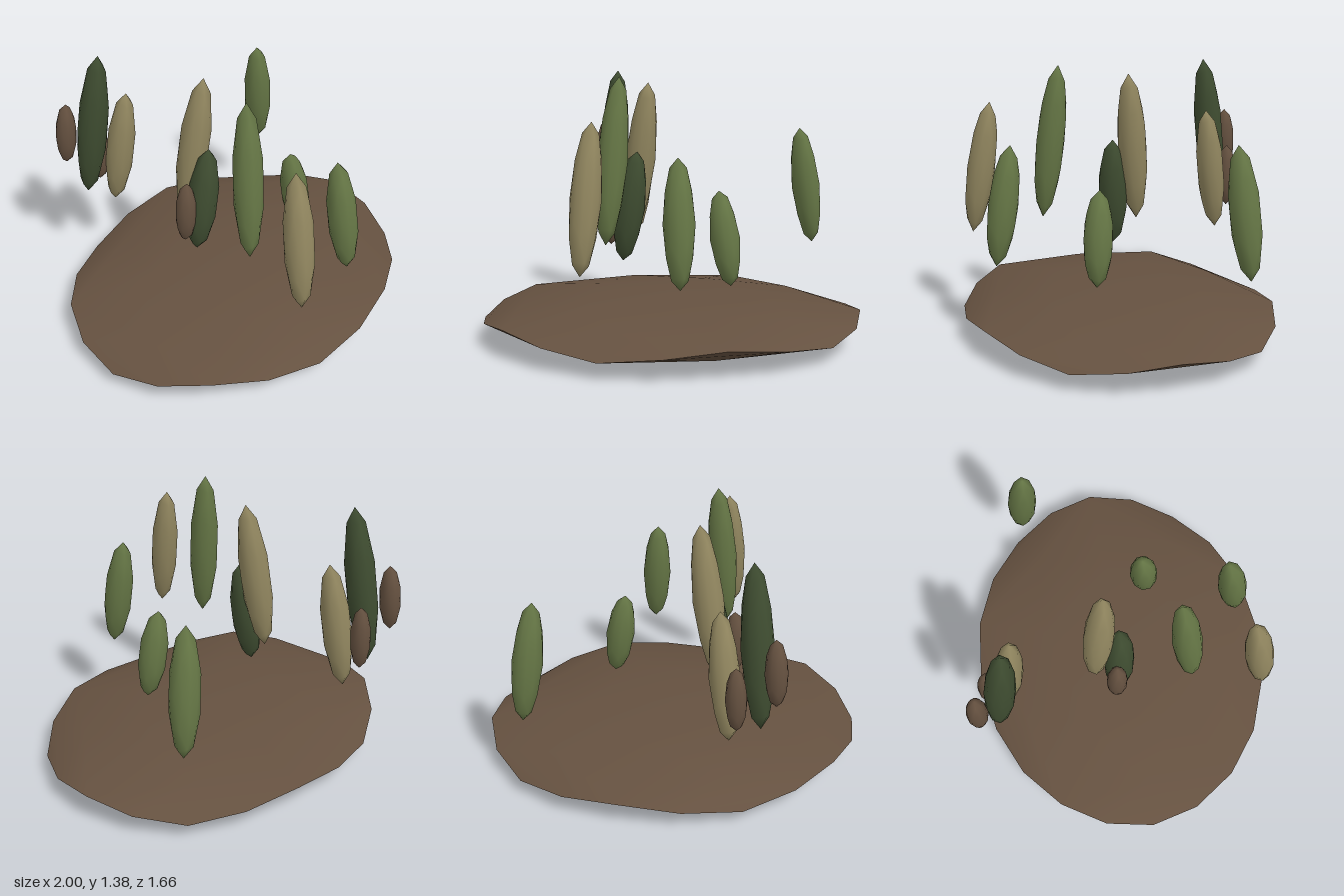
import * as THREE from 'three';
import { toCreasedNormals } from 'three/addons/utils/BufferGeometryUtils.js';

const material = (name, color) => Object.assign(new THREE.MeshStandardMaterial({ color }), { name });

// Flattened disc of soil with a five-fold zigzag rim.
function createGroundGeometry() {
  const midY = 0.122, positions = [];
  const at = (degrees, radius, y) => {
    const a = THREE.MathUtils.degToRad(degrees);
    return [radius * Math.cos(a), y, radius * 0.81 * Math.sin(a)];
  };
  const push = (a, b, c) => {
    for (const p of [a, b, c]) positions.push(p[0], midY + p[1], p[2] + 0.015);
    // The underside is the upper half turned through the centre.
    for (const p of [a, c, b]) positions.push(-p[0], midY - p[1], -p[2] + 0.015);
  };
  // One large facet divided in four by its edge points.
  const facet = (a, b, c, ab, bc, ca) => {
    push(a, ab, ca);
    push(ab, b, bc);
    push(ca, bc, c);
    push(ab, bc, ca);
  };
  const pole = [0, 0.119, 0];
  for (let k = 0; k < 5; k++) {
    const d = 72 * k;
    const peak = at(d, 1, 0.033), nextPeak = at(d + 72, 1, 0.033);
    const middle = at(d + 36, 0.78, 0.066);
    facet(pole, nextPeak, peak, at(d + 72, 0.515, 0.1), middle, at(d, 0.515, 0.1));
    facet(peak, nextPeak, at(d + 36, 1, -0.033), middle, at(d + 54, 1, 0), at(d + 18, 1, 0));
  }
  const geometry = new THREE.BufferGeometry();
  geometry.setAttribute('position', new THREE.Float32BufferAttribute(positions, 3));
  return toCreasedNormals(geometry, 0.6);
}

export function createModel() {
  const model = new THREE.Group();
  model.name = 'floatingFoliage';

  const brown = material('earthBrown', 0x655140);
  const green = material('leafGreen', 0x667746);
  const darkGreen = material('darkLeafGreen', 0x3f4d31);
  const khaki = material('dryLeafKhaki', 0x928760);

  const ground = new THREE.Mesh(createGroundGeometry(), brown);
  ground.name = 'ground';
  model.add(ground);

  // Each tuft is a stretched faceted ball running from its lower end to its tip.
  const ball = new THREE.IcosahedronGeometry(1, 1);
  const up = new THREE.Vector3(0, 1, 0);
  const addTuft = (name, mat, radius, bottom, tip) => {
    const low = new THREE.Vector3(...bottom), high = new THREE.Vector3(...tip);
    const axis = high.clone().sub(low);
    const mesh = new THREE.Mesh(ball, mat);
    mesh.name = name;
    mesh.position.copy(low).add(high).multiplyScalar(0.5);
    mesh.scale.set(radius, axis.length() / 2, radius);
    mesh.quaternion.setFromUnitVectors(up, axis.normalize());
    model.add(mesh);
  };

  // Green leaves
  addTuft('greenLeafFront', green, 0.077, [0.075, 0.41, 0.675], [0.06, 1.025, 0.587]);
  addTuft('greenLeafSmall', green, 0.076, [0.315, 0.325, 0.215], [0.25, 0.81, 0.18]);
  addTuft('greenLeafOuter', green, 0.077, [0.775, 0.435, -0.413], [0.69, 1.08, -0.368]);
  addTuft('greenLeafTall', green, 0.077, [-0.31, 0.555, 0.34], [-0.243, 1.385, 0.26]);

  // Dark green leaves
  addTuft('darkLeafMiddle', darkGreen, 0.08, [-0.26, 0.395, -0.045], [-0.18, 0.983, -0.02]);
  addTuft('darkLeafBack', darkGreen, 0.08, [-0.385, 0.55, -0.7], [-0.334, 1.385, -0.596]);

  // Dry leaves
  addTuft('dryLeafFront', khaki, 0.075, [-0.39, 0.48, 0.712], [-0.338, 1.192, 0.612]);
  addTuft('dryLeafMiddle', khaki, 0.08, [-0.215, 0.535, -0.165], [-0.125, 1.34, -0.09]);
  addTuft('dryLeafBack', khaki, 0.076, [-0.24, 0.445, -0.645], [-0.19, 1.118, -0.56]);

  // Small brown buds
  addTuft('budBack', brown, 0.055, [-0.44, 0.735, -0.785], [-0.425, 1.085, -0.768]);
  addTuft('budBackLow', brown, 0.053, [-0.265, 0.56, -0.722], [-0.255, 0.905, -0.716]);
  addTuft('budMiddle', brown, 0.055, [-0.325, 0.48, -0.065], [-0.315, 0.83, -0.058]);

  return model;
}
